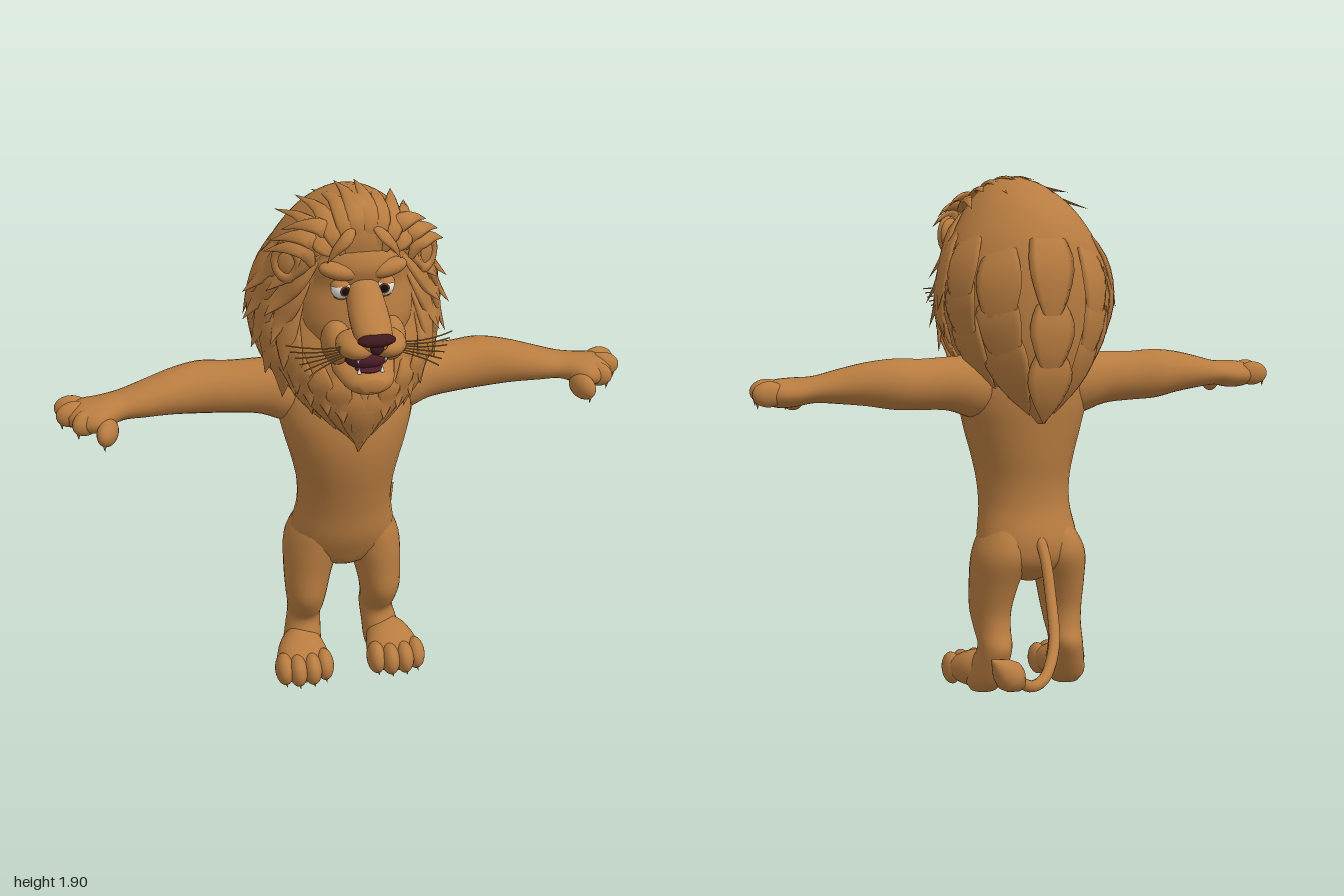
import * as THREE from 'three';

const V = (x, y, z) => new THREE.Vector3(x, y, z);
const mat = (name, color) => Object.assign(new THREE.MeshStandardMaterial({ color }), { name });

// Skin over rings of points, closed at both ends, always wound outward
function skin(rings) {
  const n = rings[0].length, pos = [], idx = [];
  rings.forEach(r => r.forEach(p => pos.push(p.x, p.y, p.z)));
  const ends = [rings[0], rings[rings.length - 1]].map(r => {
    const c = r.reduce((a, p) => a.add(p), V(0, 0, 0)).divideScalar(n);
    pos.push(c.x, c.y, c.z);
    return pos.length / 3 - 1;
  });
  const last = (rings.length - 1) * n;
  for (let j = 0; j < n; j++) {
    const k = (j + 1) % n;
    for (let i = 0; i < last; i += n) idx.push(i + j, i + k, i + n + j, i + k, i + n + k, i + n + j);
    idx.push(ends[0], k, j, ends[1], last + j, last + k);
  }
  const pt = i => V(pos[3 * i], pos[3 * i + 1], pos[3 * i + 2]), c = pt(ends[0]);
  let vol = 0;
  for (let i = 0; i < idx.length; i += 3)
    vol += pt(idx[i]).sub(c).dot(pt(idx[i + 1]).sub(c).cross(pt(idx[i + 2]).sub(c)));
  if (vol < 0) idx.reverse();
  const g = new THREE.BufferGeometry();
  g.setAttribute('position', new THREE.Float32BufferAttribute(pos, 3));
  g.setIndex(idx);
  g.computeVertexNormals();
  return g;
}

// Smooth body form from rows [x, y, z, radiusU, radiusV] with rings across one axis
const PLANES = { x: [V(0, 0, 1), V(0, 1, 0)], y: [V(1, 0, 0), V(0, 0, 1)], z: [V(1, 0, 0), V(0, 1, 0)] };
function loft(rows, axis, s = 1, sides = 28) {
  const c = new THREE.CatmullRomCurve3(rows.map(r => V(s * r[0], r[1], r[2])), false, 'catmullrom');
  const q = new THREE.CatmullRomCurve3(rows.map(r => V(r[3], r[4], 0)), false, 'catmullrom');
  const [u, v] = PLANES[axis], rings = [], steps = (rows.length - 1) * 4;
  for (let i = 0; i <= steps; i++) {
    const p = c.getPoint(i / steps), r = q.getPoint(i / steps);
    rings.push(Array.from({ length: sides }, (_, j) => {
      const a = j / sides * Math.PI * 2;
      return p.clone().addScaledVector(u, Math.cos(a) * r.x).addScaledVector(v, Math.sin(a) * r.y);
    }));
  }
  return skin(rings);
}

// Flattened pointed tuft of fur lying along a path
const CORE = V(0, 1.45, 0.1);
function lock(points, width, thick) {
  const c = new THREE.CatmullRomCurve3(points), rings = [], N = 9;
  for (let i = 0; i <= N; i++) {
    const t = i / N, p = c.getPoint(t), tan = c.getTangent(t);
    const side = tan.clone().cross(p.clone().sub(CORE)).normalize(), out = side.clone().cross(tan).normalize();
    const k = t < 0.4 ? 0.35 + 0.65 * Math.sin(t / 0.4 * Math.PI / 2) : Math.max(0.01, 1 - ((t - 0.4) / 0.6) ** 1.4);
    rings.push(Array.from({ length: 8 }, (_, j) => {
      const a = j / 8 * Math.PI * 2;
      return p.clone().addScaledVector(side, Math.cos(a) * width * k).addScaledVector(out, Math.sin(a) * thick * k);
    }));
  }
  return skin(rings);
}

// Mane shell rows, top to bottom
const MANE = [[0, 1.9, .26, .03, .07], [0, 1.87, .22, .1, .155], [0, 1.8, .175, .18, .23], [0, 1.7, .135, .25, .26],
  [0, 1.6, .11, .29, .265], [0, 1.5, .1, .315, .265], [0, 1.4, .12, .31, .285], [0, 1.3, .135, .27, .295],
  [0, 1.2, .135, .215, .275], [0, 1.1, .13, .13, .24], [0, 1.03, .13, .04, .21]];
function onMane(y, a, lift) {
  let i = 0;
  while (i < MANE.length - 2 && MANE[i + 1][1] > y) i++;
  const A = MANE[i], B = MANE[i + 1], t = (A[1] - y) / (A[1] - B[1]);
  const m = k => A[k] + (B[k] - A[k]) * t;
  return V((m(3) + lift) * Math.sin(a), y, m(2) + (m(4) + lift) * Math.cos(a));
}

export function createModel() {
  const root = new THREE.Group();
  root.name = 'lion';
  const fur = mat('golden brown fur', 0xb87c40), nose = mat('dark maroon', 0x3f191d), mouth = mat('mouth maroon', 0x4e1e2a);
  const white = mat('white', 0xeeece6), iris = mat('brown iris', 0x5c3018), black = mat('pupil black', 0x120d0b);
  const add = (name, geo, m = fur, p) => {
    const o = new THREE.Mesh(geo, m);
    o.name = name;
    if (p) o.position.set(...p);
    root.add(o);
    return o;
  };
  const ball = (name, p, r, m = fur) => {
    const o = add(name, new THREE.SphereGeometry(1, 24, 16), m, p);
    o.scale.set(...r);
    return o;
  };

  // Torso
  add('torso', loft([[0, 1.29, .1, .12, .1], [0, 1.2, .11, .215, .17], [0, 1.1, .125, .24, .195], [0, 1, .135, .222, .197],
    [0, .9, .135, .195, .185], [0, .8, .13, .175, .165], [0, .7, .115, .172, .155], [0, .6, .09, .188, .16],
    [0, .52, .075, .19, .14], [0, .46, .08, .11, .1], [0, .43, .08, .04, .05]], 'y'));

  // Mane shell and layered tufts
  add('mane', loft(MANE, 'y', 1, 40));
  const tuft = (s, y0, a0, y1, a1, w, lift, flat = .26) => add('maneTuft', lock([0, .35, .7, 1].map((t, i) =>
    onMane(y0 + (y1 - y0) * t, s * (a0 + (a1 - a0) * t), [-.012, .008, .012, lift][i])), w, w * flat));
  for (const s of [-1, 1]) {
    // Face ring, sides and back
    for (let i = 0; i < 6; i++) tuft(s, 1.8 - i * .075, .62 + i * .03, 1.58 - i * .085, 1.08 - i * .05, .048, .035);
    for (let i = 0; i < 5; i++) tuft(s, 1.8 - i * .085, 1.0, 1.54 - i * .09, 1.45 - i * .04, .055, .05);
    for (let i = 0; i < 4; i++) tuft(s, 1.74 - i * .1, 1.4, 1.43 - i * .1, 1.72, .065, .035, .2);
    for (let i = 0; i < 3; i++) {
      tuft(s, 1.74 - i * .13, 1.95 + i * .05, 1.38 - i * .13, 2.1, .08, .012, .13);
      tuft(s, 1.7 - i * .14, 2.5, 1.3 - i * .12, 2.58, .085, .008, .12);
    }
    // Beard
    for (let i = 0; i < 4; i++) {
      tuft(s, 1.36 - i * .02, .88 - i * .23, 1.13 - i * .03, .8 - i * .22, .05, .02);
      tuft(s, 1.42 - i * .025, .98 - i * .21, 1.23 - i * .025, .92 - i * .2, .045, .04);
    }
    // Crown swept back from the hairline
    for (const [x, h, e] of [[.02, .004, .01], [.055, -.008, -.03], [.095, -.035, .005], [.13, -.07, -.02]])
      add('crownTuft', lock([V(s * x * .7, 1.74, .39), V(s * x, 1.845 + h, .385), V(s * x * 1.25, 1.892 + h, .28),
        V(s * x * 1.7, 1.875 + h + e, .08 + e * 2)], .034, .013));
    // Tufts fanning out over the ears and brow
    for (const [x, y] of [[.1, 1.8], [.14, 1.765], [.16, 1.73]])
      add('templeTuft', lock([V(s * x, y - .03, .37), V(s * (x + .03), y + .025, .37), V(s * (x + .08), y + .025, .33),
        V(s * (x + .14), y - .01, .26)], .03, .012));
    add('forelock', lock([V(s * .03, 1.83, .38), V(s * .06, 1.8, .42), V(s * .095, 1.76, .415), V(s * .12, 1.715, .4)], .022, .01));
  }
  for (const [y0, y1] of [[1.76, 1.36], [1.5, 1.18], [1.32, 1.03]]) tuft(1, y0, Math.PI, y1, Math.PI, .085, .004, .12);
  tuft(1, 1.3, 0, 1.0, 0, .05, .01);

  // Head, nose bridge and jaw
  add('head', loft([[0, 1.8, .25, .09, .1], [0, 1.75, .25, .145, .15], [0, 1.69, .25, .175, .172], [0, 1.62, .25, .185, .155],
    [0, 1.55, .25, .198, .165], [0, 1.48, .25, .195, .172], [0, 1.41, .25, .165, .16], [0, 1.35, .25, .11, .12]], 'y'));
  add('noseBridge', loft([[0, 1.64, .34, .05, .07], [0, 1.595, .4, .058, .072], [0, 1.555, .47, .064, .065],
    [0, 1.52, .54, .06, .048], [0, 1.505, .585, .036, .028]], 'z'));
  add('jaw', loft([[0, 1.4, .28, .13, .08], [0, 1.365, .38, .11, .065], [0, 1.34, .46, .09, .044],
    [0, 1.336, .51, .072, .038], [0, 1.34, .54, .036, .022]], 'z'));
  ball('mouthInterior', [0, 1.41, .435], [.078, .045, .07], mouth);
  ball('tongue', [0, 1.378, .475], [.045, .01, .04], mouth);
  ball('noseTip', [0, 1.516, .577], [.062, .021, .027], nose);
  ball('noseBase', [0, 1.492, .577], [.024, .025, .02], nose);

  for (const s of [-1, 1]) {
    ball('muzzlePad', [s * .05, 1.475, .5], [.064, .043, .082]);
    ball('mouthCorner', [s * .09, 1.445, .4], [.05, .075, .07]);
    ball('browRidge', [s * .075, 1.682, .385], [.07, .03, .04]).rotation.z = s * .2;

    // Eye
    const eye = [s * .07, 1.622, .384];
    ball('eyeball', eye, [.034, .034, .034], white);
    [['iris', .0346, .54, iris], ['pupil', .0352, .36, black]].forEach(([n, r, t, m]) => {
      const o = add(n, new THREE.SphereGeometry(r, 20, 6, 0, Math.PI * 2, 0, t), m, eye);
      o.rotation.set(Math.PI / 2, 0, s * .2);
    });
    add('upperEyelid', new THREE.SphereGeometry(.038, 20, 8, 0, Math.PI * 2, 0, 1.1), fur, eye).rotation.z = -s * .12;
    add('lowerEyelid', new THREE.SphereGeometry(.037, 20, 8, 0, Math.PI * 2, 0, .95), fur, eye).rotation.z = Math.PI;

    // Ear
    const rim = add('earRim', new THREE.TorusGeometry(.042, .015, 10, 24), fur, [s * .228, 1.69, .295]);
    rim.rotation.y = s * .6;
    rim.scale.y = 1.25;
    ball('earBack', [s * .225, 1.69, .28], [.05, .062, .025]).rotation.y = s * .6;

    // Fangs
    const up = add('upperFang', new THREE.ConeGeometry(.009, .035, 10), white, [s * .045, 1.425, .52]);
    up.rotation.x = Math.PI;
    add('lowerFang', new THREE.ConeGeometry(.007, .024, 10), white, [s * .038, 1.386, .505]);

    // Whiskers
    for (let i = 0; i < 6; i++) {
      const path = new THREE.QuadraticBezierCurve3(V(s * .09, 1.485 - i * .007, .53),
        V(s * .17, 1.485 - i * .013, .555 - i * .006), V(s * (.272 - i * .012), 1.485 - i * .017, .485 + i * .014));
      add('whisker', new THREE.TubeGeometry(path, 8, .0024, 5));
    }

    // Arm and paw
    add('arm', loft([[.08, 1.14, .1, .1, .1], [.2, 1.152, .1, .115, .115], [.3, 1.167, .09, .1, .097], [.4, 1.17, .08, .093, .091],
      [.5, 1.175, .073, .094, .091], [.6, 1.177, .092, .09, .077], [.7, 1.17, .115, .08, .06], [.78, 1.162, .13, .074, .047],
      [.85, 1.152, .16, .1, .051], [.91, 1.15, .158, .088, .048], [.955, 1.15, .15, .05, .028]], 'x', s));
    [[.94, 1.155, .105, .15], [.937, 1.158, .16, -.2], [.895, 1.148, .21, -.65], [.833, 1.122, .25, -1.2]].forEach(([x, y, z, r]) => {
      ball('finger', [s * x, y, z], [.06, .045, .034]).rotation.y = s * r;
      add('fingerClaw', new THREE.ConeGeometry(.008, .03, 8), fur,
        [s * (x + .042 * Math.cos(r)), y - .036, z - .042 * Math.sin(r)]).rotation.x = Math.PI;
    });

    // Leg and foot
    add('leg', loft([[.085, .68, .08, .04, .07], [.096, .61, .08, .083, .125], [.108, .53, .072, .106, .137], [.13, .42, .088, .09, .115],
      [.14, .32, .1, .076, .1], [.14, .25, .08, .067, .087], [.14, .19, .048, .062, .082], [.15, .12, .075, .068, .085],
      [.16, .05, .1, .073, .072], [.165, .012, .11, .05, .05]], 'y', s));
    add('foot', loft([[.16, .08, .05, .045, .05], [.168, .085, .12, .08, .075], [.173, .072, .2, .1, .067],
      [.175, .058, .26, .09, .05]], 'z', s));
    [[.1, .235], [.149, .255], [.203, .255], [.25, .235]].forEach(([x, z]) => {
      ball('toe', [s * x, .064, z], [.035, .06, .06]);
      add('toeClaw', new THREE.ConeGeometry(.008, .025, 8), fur, [s * x, .026, z + .046]).rotation.x = 2.3;
    });
  }

  // Tail and tuft
  add('tail', new THREE.TubeGeometry(new THREE.CatmullRomCurve3([V(0, .62, -.03), V(0, .55, -.1), V(.012, .42, -.19),
    V(.05, .29, -.32), V(.13, .215, -.44), V(.2, .21, -.5), V(.27, .25, -.54)]), 40, .02, 12));
  const tip = add('tailTuft', new THREE.LatheGeometry([[.001, -.07], [.025, -.06], [.047, -.025], [.053, 0], [.042, .035], [.02, .07], [.001, .1]]
    .map(p => new THREE.Vector2(...p)), 18), fur, [.3, .275, -.555]);
  tip.quaternion.setFromUnitVectors(V(0, 1, 0), V(.7, .68, -.22).normalize());
  return root;
}
